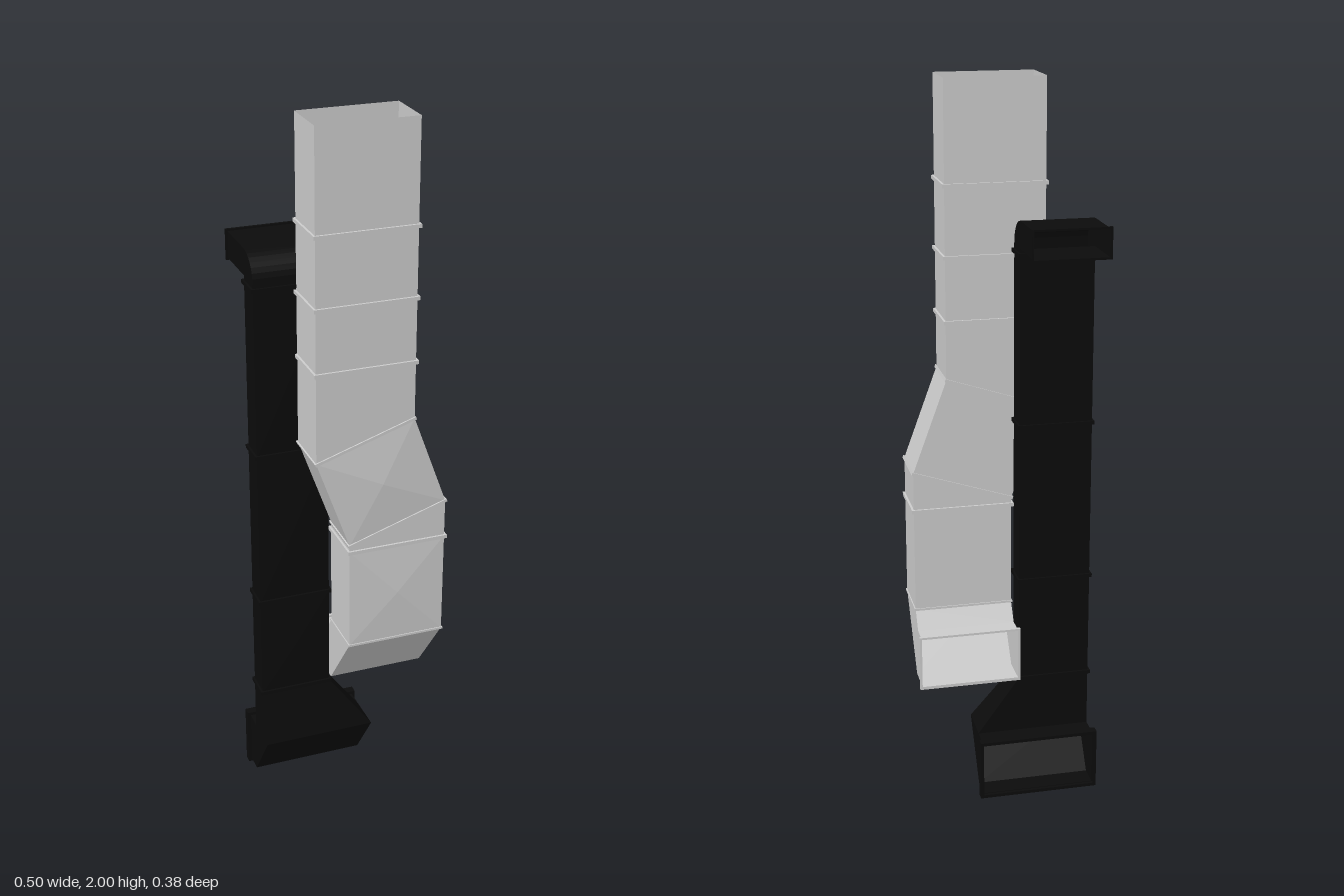
import * as THREE from 'three';

// Rectangular duct cross-section: front edge at (yf, zf), back edge at (yb, zb); s lifts the +x side
const ring = (x0, x1, yf, yb, zf, zb, s = 0) => [
  new THREE.Vector3(x0, yf, zf), new THREE.Vector3(x1, yf + s, zf),
  new THREE.Vector3(x1, yb + s, zb), new THREE.Vector3(x0, yb, zb)];

function meshFrom(tris, material, name) {
  const geo = new THREE.BufferGeometry().setFromPoints(tris);
  geo.computeVertexNormals();
  const mesh = new THREE.Mesh(geo, material);
  mesh.name = name;
  return mesh;
}

const quad = (out, a, b, c, d) => out.push(a, b, c, a, c, d);

// Sheet-metal walls between two cross-sections; the front panel may swell to a shallow pyramid
function wall(A, B, material, name, bulge = 0) {
  const tris = [];
  for (let i = 0; i < 4; i++) {
    const j = (i + 1) % 4;
    if (i === 0 && bulge) {
      const loop = [A[0], B[0], B[1], A[1]];
      const mid = new THREE.Vector3();
      loop.forEach(p => mid.addScaledVector(p, 0.25));
      mid.z += bulge;
      loop.forEach((p, k) => tris.push(p, loop[(k + 1) % 4], mid));
    } else quad(tris, A[i], B[i], B[j], A[j]);
  }
  return meshFrom(tris, material, name);
}

// Raised rectangular collar around a cross-section
function flange(R, material, name, out = 0.006, thick = 0.01) {
  const u = R[1].clone().sub(R[0]).normalize();
  const v = R[3].clone().sub(R[0]).normalize();
  const n = u.clone().cross(v).normalize().multiplyScalar(thick / 2);
  const signs = [[-1, -1], [1, -1], [1, 1], [-1, 1]];
  const outer = R.map((p, i) => p.clone()
    .addScaledVector(u, signs[i][0] * out).addScaledVector(v, signs[i][1] * out));
  const at = (loop, k) => loop.map(p => p.clone().addScaledVector(n, k));
  const [oa, ob, ia, ib] = [at(outer, -1), at(outer, 1), at(R, -1), at(R, 1)];
  const tris = [];
  for (let i = 0; i < 4; i++) {
    const j = (i + 1) % 4;
    quad(tris, oa[i], ob[i], ob[j], oa[j]);
    quad(tris, ia[i], oa[i], oa[j], ia[j]);
    quad(tris, ob[i], ib[i], ib[j], ob[j]);
  }
  return meshFrom(tris, material, name);
}

// Each entry: { r: cross-section, name: section below it, bulge, collar: [out, thick] }
function duct(name, entries, material) {
  const group = new THREE.Group();
  group.name = name;
  entries.forEach((e, i) => {
    if (e.collar) group.add(flange(e.r, material, 'flange', ...e.collar));
    if (i < entries.length - 1) group.add(wall(e.r, entries[i + 1].r, material, e.name, e.bulge));
  });
  return group;
}

export function createModel() {
  const model = new THREE.Group();
  const grey = new THREE.MeshStandardMaterial({ color: 0xcccccc, flatShading: true, side: THREE.DoubleSide });
  const black = new THREE.MeshStandardMaterial({ color: 0x0b0b0b, flatShading: true, side: THREE.DoubleSide });
  const thin = [0.006, 0.01];

  // Grey duct: straight riser, sideways offset, lower box and rear outlet
  const upper = y => ring(-0.127, 0.146, y, y, 0.18, 0.034);
  const lower = (y, s) => ring(-0.034, 0.241, y, y, 0.18, 0.034, s);
  model.add(duct('greyDuct', [
    { r: upper(2), name: 'riser' },
    ...[1.725, 1.535, 1.36].map(y => ({ r: upper(y), name: 'riser', collar: thin })),
    { r: ring(-0.127, 0.146, 1.11, 1.11, 0.18, 0.034, 0.09), name: 'offset', bulge: 0.01, collar: [0.004, 0.008] },
    { r: lower(0.85, 0.09), name: 'offsetJoint', collar: [0.004, 0.008] },
    { r: lower(0.83, 0), name: 'lowerDuct', bulge: 0.008, collar: thin },
    { r: lower(0.535, 0), name: 'outletElbow', collar: [0.003, 0.006] },
    { r: ring(-0.034, 0.241, 0.338, 0.485, 0.03, 0), name: 'outlet' },
    { r: ring(-0.034, 0.241, 0.338, 0.485, -0.057, -0.057), collar: thin },
  ], grey));

  // Black duct: rear mouth, rounded elbow, straight riser, flared foot and rear outlet
  const riser = y => ring(-0.241, -0.04, y, y, 0.03, -0.045);
  const elbow = [];
  for (let i = 0; i <= 8; i++) {
    const a = Math.PI / 2 * (1 - i / 8);
    elbow.push({ name: 'elbow', r: ring(-0.241, -0.04,
      1.565 + 0.075 * Math.sin(a), 1.566, -0.045 + 0.075 * Math.cos(a), -0.045) });
  }
  const foot = (yf, yb, zf, zb) => ring(-0.241, 0.079, yf, yb, zf, zb);
  model.add(duct('blackDuct', [
    { r: ring(-0.241, -0.04, 1.64, 1.566, -0.188, -0.188), name: 'mouth', collar: [0.005, 0.008] },
    ...elbow,
    ...[1.55, 1.08, 0.63].map(y => ({ r: riser(y), name: 'riser', bulge: 0.007, collar: thin })),
    { r: riser(0.33), name: 'flare', collar: thin },
    { r: foot(0.17, 0.166, 0.064, -0.045), name: 'footElbow' },
    { r: foot(0.009, 0.166, -0.05, -0.048), name: 'footOutlet' },
    { r: foot(0.009, 0.166, -0.11, -0.11), collar: [0.009, 0.024] },
  ], black));
  return model;
}
